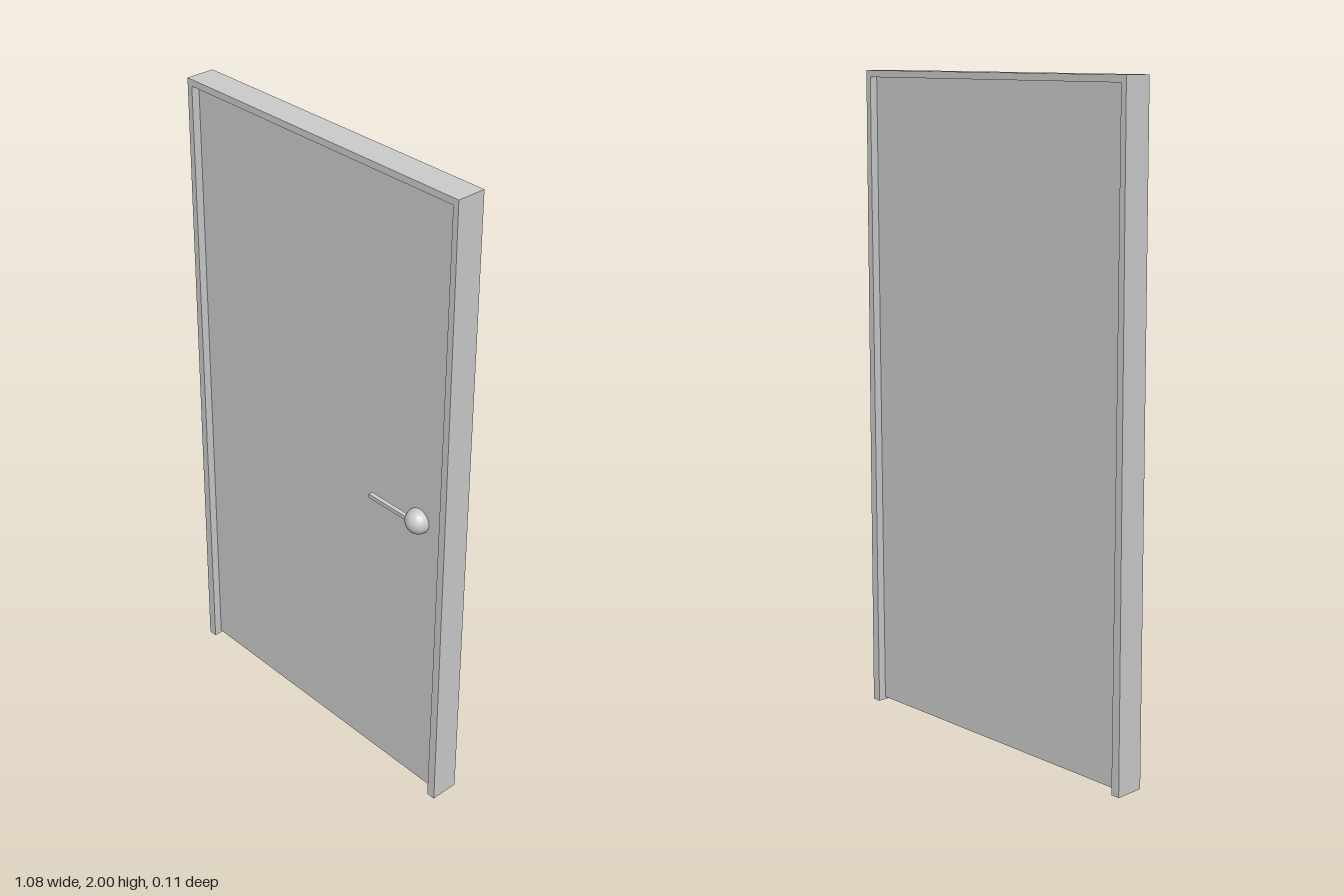
import * as THREE from 'three';

export function createModel() {
  const group = new THREE.Group();
  const material = new THREE.MeshStandardMaterial({ color: 0xcccccc });
  const add = (name, geometry, x = 0, y = 0, z = 0) => {
    const mesh = new THREE.Mesh(geometry, material);
    mesh.name = name;
    mesh.position.set(x, y, z);
    group.add(mesh);
  };

  // Door frame: an arch of two jambs and a head, slightly wider at the floor
  const outline = [
    [-0.538, 0], [-0.51, 0], [-0.51, 1.98], [0.51, 1.98],
    [0.51, 0], [0.538, 0], [0.528, 2], [-0.528, 2],
  ].map(([x, y]) => new THREE.Vector2(x, y));
  const frame = new THREE.ExtrudeGeometry(new THREE.Shape(outline), { depth: 0.09, bevelEnabled: false });
  add('doorFrame', frame, 0, 0, -0.055);

  // Door leaf, recessed on both sides with a small gap at the floor
  add('doorPanel', new THREE.BoxGeometry(1.02, 1.972, 0.04), 0, 0.994, -0.01);

  // Handle on the front only: round knob with a slim lever
  add('handleKnob', new THREE.SphereGeometry(0.039, 32, 20), 0.409, 0.965, 0.013);
  add('handleLever', new THREE.BoxGeometry(0.177, 0.012, 0.014), 0.3205, 0.969, 0.03);

  return group;
}
